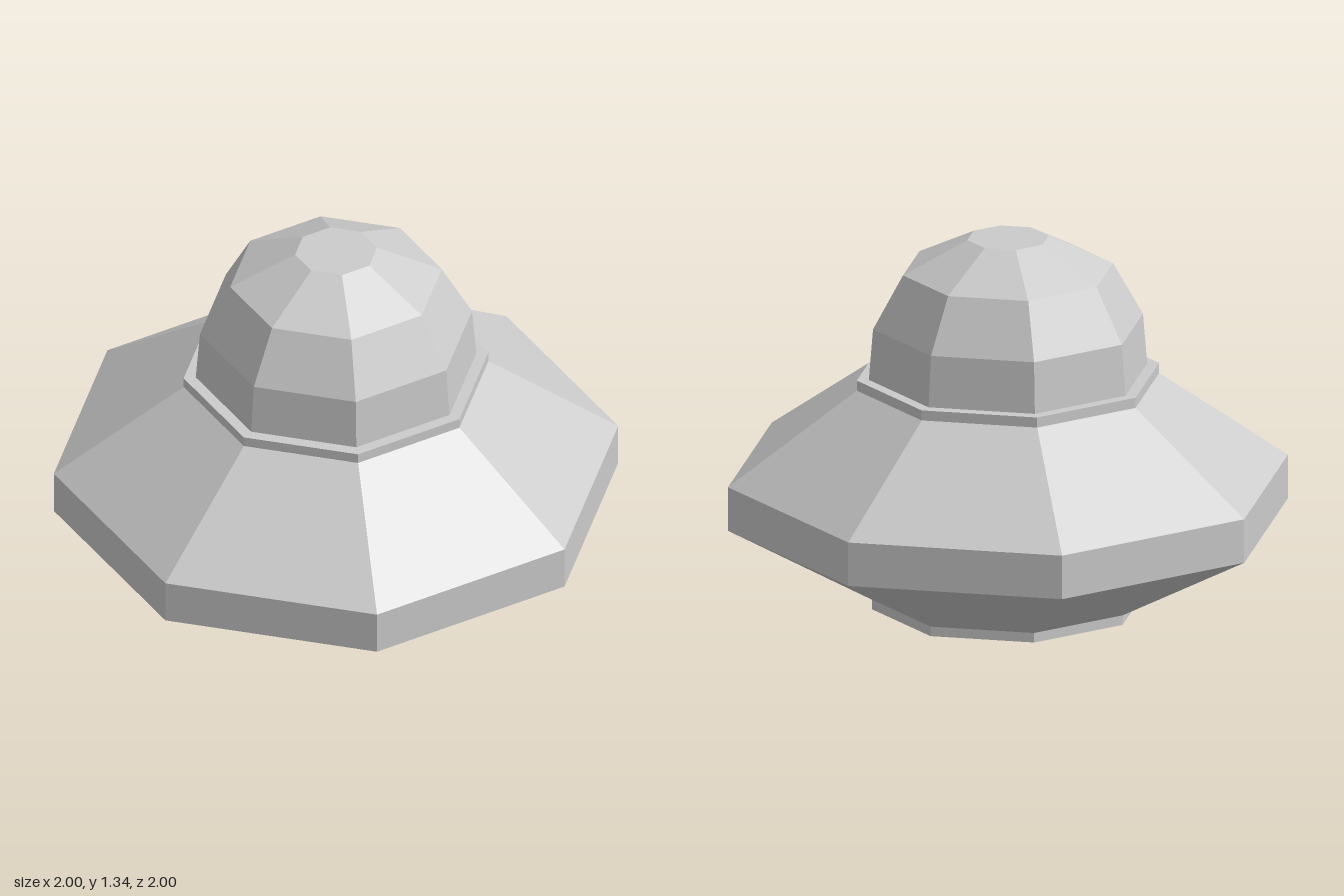
import * as THREE from 'three';

const SIDES = 8;
const material = new THREE.MeshStandardMaterial({ color: 0xcccccc, flatShading: true });

// Eight-sided part turned from [radius, height] points, listed bottom to top.
function turned(name, profile) {
  const points = profile.map(([r, y]) => new THREE.Vector2(r, y));
  const mesh = new THREE.Mesh(new THREE.LatheGeometry(points, SIDES), material);
  mesh.name = name;
  return mesh;
}

export function createModel() {
  const group = new THREE.Group();
  group.name = 'flyingSaucer';
  group.add(
    // shallow plate closing the underside
    turned('basePlate', [[0, 0], [0.485, 0], [0.485, 0.035]]),
    // wide hull with a vertical rim
    turned('hull', [[0.485, 0.035], [1, 0.32], [1, 0.48], [0.54, 0.808]]),
    // collar the dome sits in
    turned('collar', [[0.54, 0.808], [0.54, 0.845], [0.497, 0.845]]),
    // faceted dome with a flat cap
    turned('dome', [[0.497, 0.845], [0.482, 1.03], [0.375, 1.222], [0.145, 1.338], [0, 1.338]]),
  );
  return group;
}
